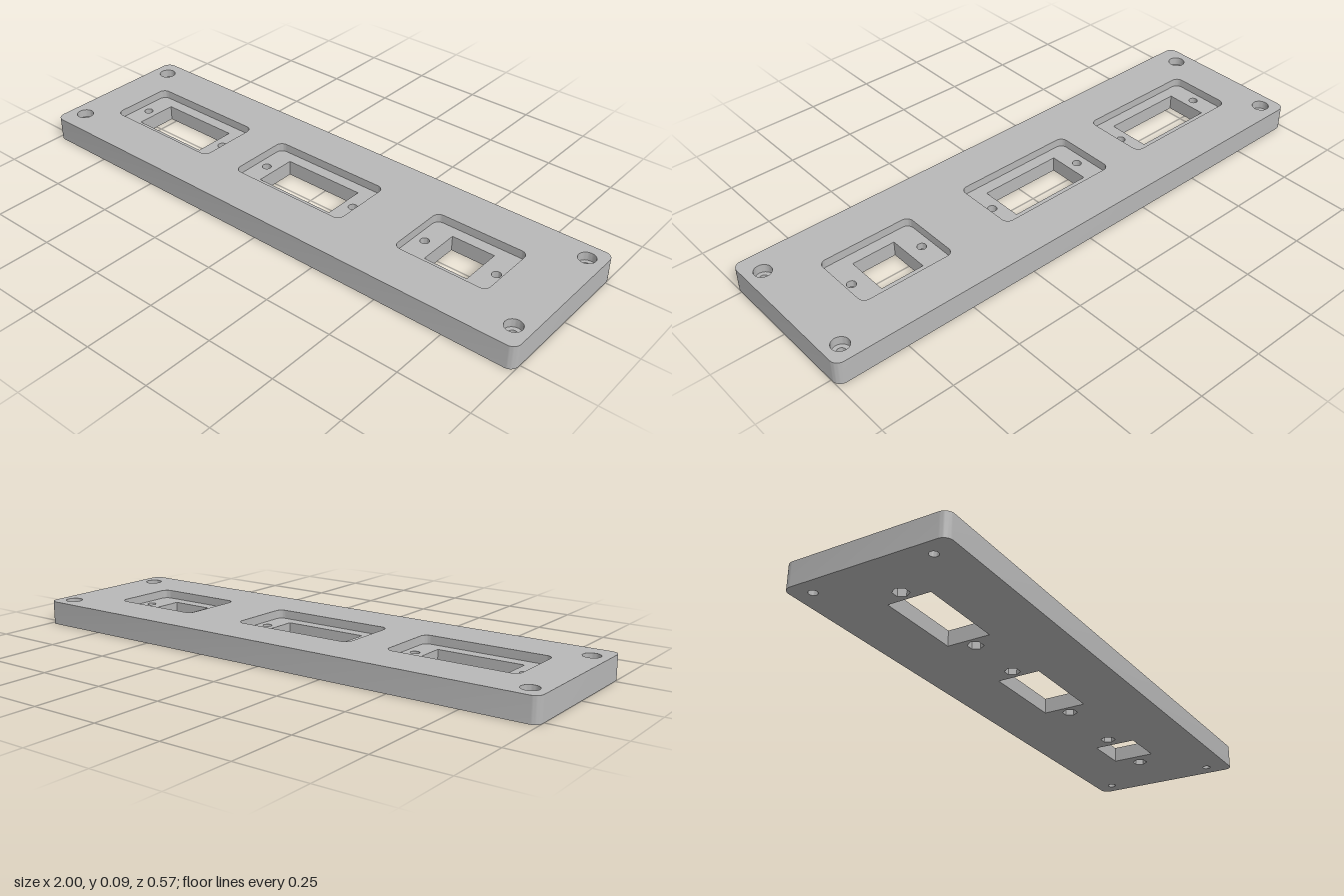
import * as THREE from 'three';
import { toCreasedNormals } from 'three/addons/utils/BufferGeometryUtils.js';

const HEIGHT = 0.085, FLOOR = 0.055, BORE = 0.055, NUT = 0.03;
const grey = new THREE.MeshStandardMaterial({ color: 0xb8b8b8 });
grey.name = 'plate grey';

// Outlines lie in the (x, -z) plane and run counter-clockwise.
function arcPoints(x, y, r, from, to, n) {
  return Array.from({ length: n + 1 }, (_, i) => {
    const a = from + ((to - from) * i) / n;
    return new THREE.Vector2(x + r * Math.cos(a), y + r * Math.sin(a));
  });
}

function circle(x, y, r, n = 28) {
  return arcPoints(x, y, r, 0, Math.PI * 2, n).slice(0, n);
}

function rect(x0, x1, y0, y1, r = 0) {
  if (!r) return [[x0, y0], [x1, y0], [x1, y1], [x0, y1]].map((p) => new THREE.Vector2(...p));
  const corners = [[x1 - r, y0 + r, -1], [x1 - r, y1 - r, 0], [x0 + r, y1 - r, 1], [x0 + r, y0 + r, 2]];
  return corners.flatMap(([x, y, q]) => arcPoints(x, y, r, (q * Math.PI) / 2, ((q + 1) * Math.PI) / 2, 8));
}

// Flat horizontal face with holes, facing up or down
function face(outline, holes, y, down = false) {
  const shape = new THREE.Shape(outline);
  shape.holes = holes.map((h) => new THREE.Path(h));
  const g = new THREE.ShapeGeometry(shape);
  g.rotateX(-Math.PI / 2).translate(0, y, 0);
  if (down) {
    g.index.array.reverse();
    g.computeVertexNormals();
  }
  return g;
}

// Upright wall along an outline; facing inward when y0 is above y1
function wall(outline, y0, y1) {
  const pos = [];
  outline.forEach((p, i) => {
    const q = outline[(i + 1) % outline.length];
    const a = [p.x, y0, -p.y], b = [q.x, y0, -q.y], c = [q.x, y1, -q.y], d = [p.x, y1, -p.y];
    pos.push(...a, ...b, ...c, ...a, ...c, ...d);
  });
  const g = new THREE.BufferGeometry();
  g.setAttribute('position', new THREE.Float32BufferAttribute(pos, 3));
  return toCreasedNormals(g, 0.6);
}

export function createModel() {
  const model = new THREE.Group();
  model.name = 'connectorPlate';
  const add = (name, geometry, parent = model) => {
    const mesh = new THREE.Mesh(geometry, grey);
    mesh.name = name;
    parent.add(mesh);
  };
  const group = (name) => {
    const g = new THREE.Group();
    g.name = name;
    model.add(g);
    return g;
  };

  const outline = rect(-1, 1, -0.287, 0.287, 0.03);
  const topHoles = [], bottomHoles = [];

  // Counterbored screw holes in the corners
  for (const x of [-0.94, 0.94]) {
    for (const y of [-0.202, 0.222]) {
      const g = group('screwHole');
      const bore = circle(x, y, 0.03), hole = circle(x, y, 0.015);
      add('counterboreWall', wall(bore, HEIGHT, BORE), g);
      add('counterboreFloor', face(bore, [hole], BORE), g);
      add('holeWall', wall(hole, BORE, 0), g);
      topHoles.push(bore);
      bottomHoles.push(hole);
    }
  }

  // Recessed connector openings: pocket ends, window ends, bolt positions
  const openings = [
    { pocket: [-0.853, -0.388], window: [-0.775, -0.465], bolts: [-0.815, -0.425] },
    { pocket: [-0.243, 0.222], window: [-0.165, 0.145], bolts: [-0.205, 0.185] },
    { pocket: [0.444, 0.791], window: [0.535, 0.695], bolts: [0.481, 0.753] },
  ];
  for (const o of openings) {
    const g = group('connectorOpening');
    const pocket = rect(...o.pocket, -0.118, 0.122, 0.025);
    const window = rect(...o.window, -0.075, 0.08);
    const floorHoles = [window];
    add('pocketWall', wall(pocket, HEIGHT, FLOOR), g);
    add('windowWall', wall(window, FLOOR, 0), g);
    // Bolt holes with hexagonal nut recesses below
    for (const x of o.bolts) {
      const hole = circle(x, 0.002, 0.016), nut = circle(x, 0.002, 0.027, 6);
      add('boltHoleWall', wall(hole, FLOOR, NUT), g);
      add('nutRecessWall', wall(nut, NUT, 0), g);
      add('nutRecessCeiling', face(nut, [hole], NUT, true), g);
      floorHoles.push(hole);
      bottomHoles.push(nut);
    }
    add('pocketFloor', face(pocket, floorHoles, FLOOR), g);
    topHoles.push(pocket);
    bottomHoles.push(window);
  }

  // Plate skin
  add('plateTop', face(outline, topHoles, HEIGHT));
  add('plateBottom', face(outline, bottomHoles, 0, true));
  add('plateEdge', wall(outline, 0, HEIGHT));
  return model;
}
